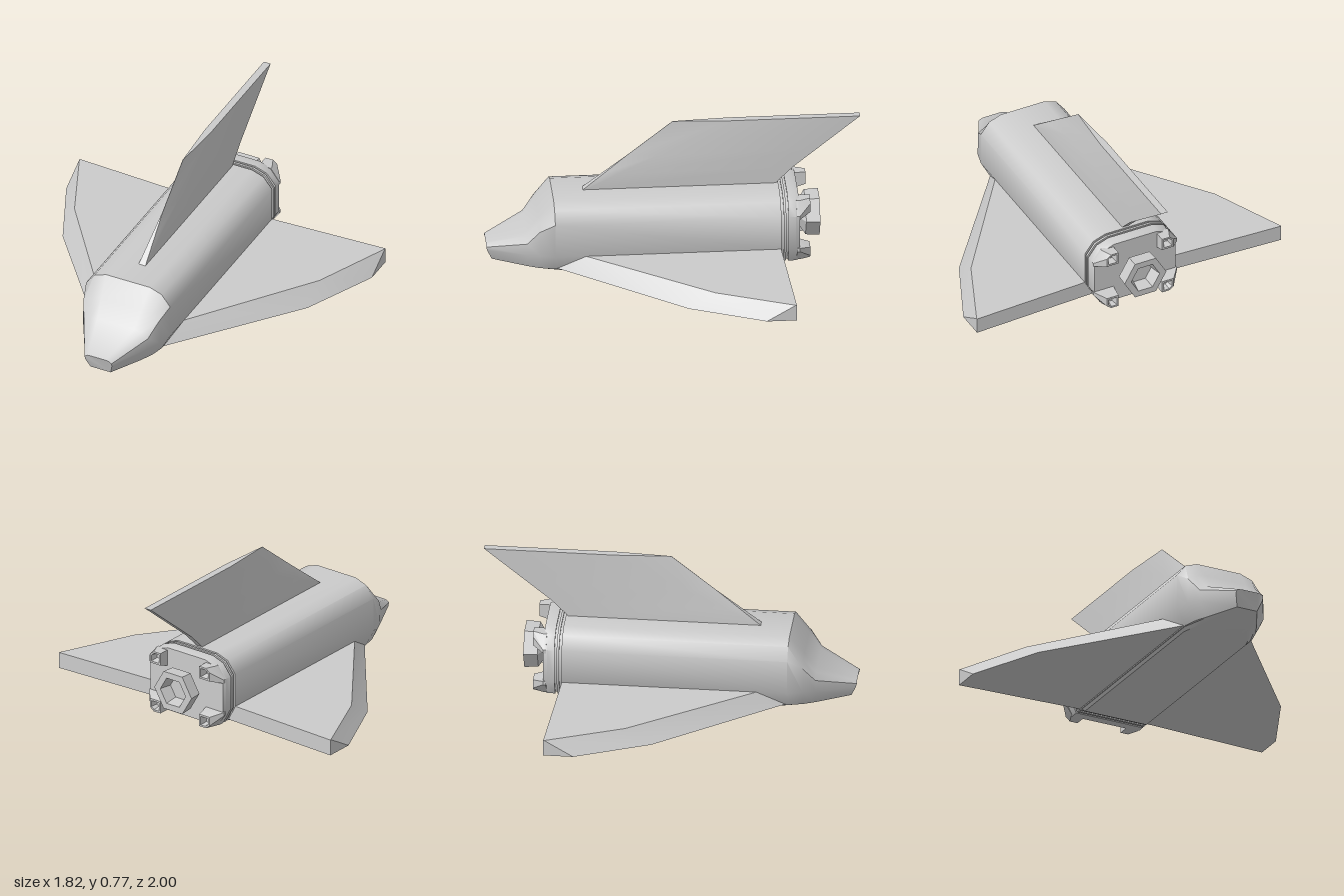
import * as THREE from 'three';
import { toCreasedNormals } from 'three/addons/utils/BufferGeometryUtils.js';

const material = new THREE.MeshStandardMaterial({ color: 0xcccccc });

// Closed skin through rings of [x, y, z], each counter-clockwise seen from the travel direction
function loft(rings, crease = 0.6) {
  const n = rings[0].length, last = rings.length - 1;
  const index = [];
  for (let r = 0; r < last; r++) {
    for (let i = 0; i < n; i++) {
      const j = (i + 1) % n;
      const a = r * n + i, b = r * n + j, c = a + n, d = b + n;
      index.push(a, b, d, a, d, c);
    }
  }
  for (let i = 1; i < n - 1; i++) {
    index.push(0, i + 1, i, last * n, last * n + i, last * n + i + 1);
  }
  const g = new THREE.BufferGeometry();
  g.setAttribute('position', new THREE.Float32BufferAttribute(rings.flat(2), 3));
  g.setIndex(index);
  return toCreasedNormals(g, crease);
}

// Mirror rings, reversing them when the mirroring flips the winding
function mirror(rings, sx, sy = 1, yMid = 0) {
  return rings.map((ring) => {
    const out = ring.map(([x, y, z]) => [x * sx, yMid + (y - yMid) * sy, z]);
    return sx * sy < 0 ? out.reverse() : out;
  });
}

// Half section [x, y, dz], listed top to bottom, made into a full ring
function section(z, half, s = 1) {
  const pts = half.map(([x, y, dz = 0]) => [x * s, 0.2 + (y - 0.2) * s, z + dz]);
  return [...pts].reverse().concat(pts.map(([x, y, pz]) => [-x, y, pz]));
}

// Hexagonal nozzle opening to the rear, from a profile of [radius, depth]
function nozzle(profile) {
  const pts = profile.map(([r, d]) => new THREE.Vector2(r, d));
  const g = new THREE.LatheGeometry(pts, 6, Math.PI / 6);
  g.rotateX(-Math.PI / 2);
  return toCreasedNormals(g, 0.5);
}

export function createModel() {
  const model = new THREE.Group();
  const add = (name, geometry) => {
    const mesh = new THREE.Mesh(geometry, material);
    mesh.name = name;
    model.add(mesh);
    return mesh;
  };

  // Fuselage with two grooves near the tail, sloping windscreen and blunt nose
  const hull = [[0.13, 0.39], [0.2, 0.365], [0.25, 0.3], [0.25, 0.11], [0.2, 0.015]];
  const tail = [
    [-0.66, 0.97], [-0.64, 1], [-0.6, 1], [-0.6, 0.96], [-0.588, 0.96], [-0.588, 1],
    [-0.575, 1], [-0.575, 0.96], [-0.562, 0.96], [-0.562, 1],
  ].map(([z, s]) => section(z, hull, s));
  add('fuselage', loft([
    ...tail,
    section(0.645, hull),
    section(0.725, [[0.12, 0.29], [0.175, 0.28], [0.225, 0.25], [0.228, 0.11], [0.18, 0.015]]),
    section(0.79, [[0.11, 0.2], [0.15, 0.195], [0.19, 0.165], [0.192, 0.1], [0.15, 0.015]]),
    section(0.99, [[0.045, 0.113, 0.01], [0.065, 0.111, 0.01], [0.08, 0.1, 0.01], [0.08, 0.08, 0.005], [0.06, 0.02, -0.02]]),
  ], 0.7));

  // Belly shield with bevelled rim
  const outline = (y, half) => [
    ...half.map(([x, z]) => [x, y, z]),
    ...[...half].reverse().map(([x, z]) => [-x, y, z]),
  ];
  add('bellyShield', loft([
    outline(0, [[0.1, 0.79], [0.16, 0.69], [0.185, 0.6], [0.185, -0.53]]),
    outline(0.02, [[0.06, 0.965], [0.15, 0.79], [0.2, 0.64], [0.2, -0.55]]),
  ]));

  // Wings: flat below, leading edge bevelled up to the top surface
  const wing = [
    // x, bottom leading z, top leading z, trailing z
    [0.18, 0.66, 0.57, -0.557],
    [0.25, 0.57, 0.48, -0.56],
    [0.73, -0.03, -0.17, -0.582],
    [0.91, -0.43, -0.585, -0.59],
  ].map(([x, zb, zt, zk]) => [[x, 0.02, zb], [x, 0.02, zk], [x, 0.11, zk], [x, 0.11, zt]]);
  add('leftWing', loft(wing));
  add('rightWing', loft(mirror(wing, -1)));

  // Tail fin: swept, blunt at the root and sharp-edged toward the tip
  const fin = [
    // y, half width of leading edge, leading z, full-thickness z, trailing z
    [0.37, 0.02, 0.48, 0.47, -0.55],
    [0.39, 0.02, 0.48, 0.47, -0.55],
    [0.48, 0.011, 0.366, 0.29, -0.64],
    [0.58, 0.001, 0.24, 0.08, -0.764],
    [0.77, 0.001, 0, -0.3, -1],
  ].map(([y, w, zl, zf, zb]) => outline(y, [[w, zl], [0.02, zf], [0.02, zb]]));
  add('tailFin', loft(fin));

  // Main engine nozzle
  const engine = add('mainEngine', nozzle([
    [0.06, 0], [0.065, 0.02], [0.12, 0.055], [0.125, 0.13], [0.085, 0.13], [0.07, 0.06], [0, 0.06],
  ]));
  engine.position.set(0, 0.2, -0.65);

  // Four hollow thruster pods in the tail corners
  const base = [[0.13, 0.37], [0.2, 0.37], [0.25, 0.3], [0.25, 0.28], [0.13, 0.28]];
  const rim = [[0.13, 0.37], [0.175, 0.37], [0.2, 0.35], [0.2, 0.3], [0.13, 0.3]];
  const cup = (s) => rim.map(([x, y]) => [0.166 + (x - 0.166) * s, 0.337 + (y - 0.337) * s]);
  const pod = [[-0.645, base], [-0.66, base], [-0.72, rim], [-0.72, cup(0.7)], [-0.68, cup(0.5)]]
    .map(([z, pts]) => pts.map(([x, y]) => [x, y, z]));
  for (const [side, sx] of [['left', 1], ['right', -1]]) {
    for (const [level, sy] of [['Upper', 1], ['Lower', -1]]) {
      add(`${side}${level}ThrusterPod`, loft(mirror(pod, sx, sy, 0.195), 0.4));
    }
  }
  return model;
}
